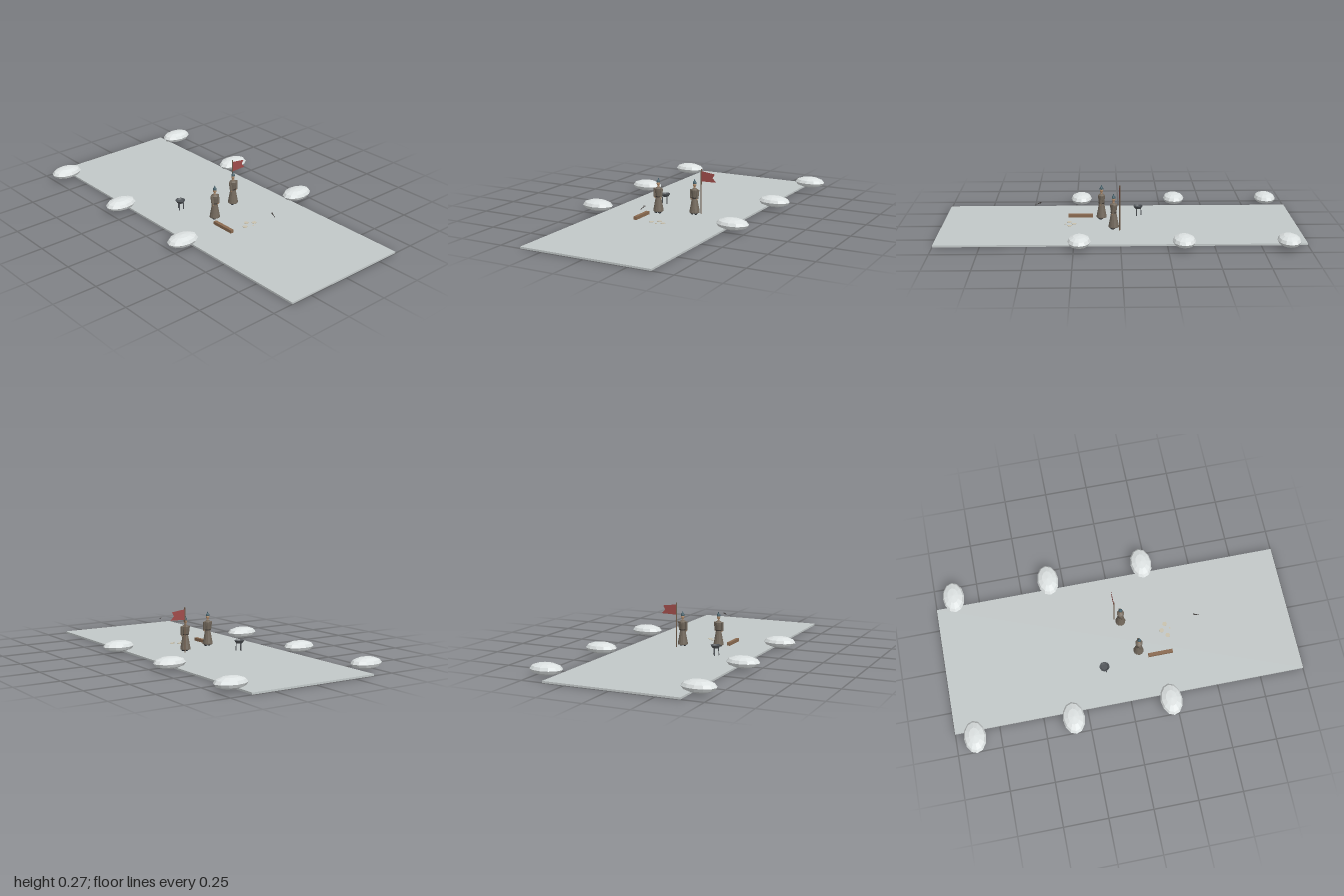
import * as THREE from 'three';

const material = (color, side = THREE.FrontSide) =>
  new THREE.MeshStandardMaterial({ color, side, flatShading: true });

const MAT = {
  ground: material(0xc2c8c8),
  mound: material(0xdde2e2),
  robe: material(0x73695d),
  belt: material(0x3e3833),
  skin: material(0xb08c6c),
  hat: material(0x46606a),
  shoe: material(0x2c3036),
  wood: material(0x8a6a50),
  pole: material(0x6e5a48),
  iron: material(0x505458),
  flag: material(0xa04c4a, THREE.DoubleSide),
  pale: material(0xc9c2ae),
  dart: material(0x403c3a),
};

const FLOOR = 0.01; // top of the ground slab

function add(parent, name, geometry, mat, x = 0, y = 0, z = 0) {
  const mesh = new THREE.Mesh(geometry, mat);
  mesh.name = name;
  mesh.position.set(x, y, z);
  parent.add(mesh);
  return mesh;
}

function group(parent, name, x, y, z) {
  const g = new THREE.Group();
  g.name = name;
  g.position.set(x, y, z);
  parent.add(g);
  return g;
}

// Tapered rod between two points
function rod(parent, name, from, to, r0, r1, mat, sides = 8) {
  const a = new THREE.Vector3(...from), b = new THREE.Vector3(...to);
  const d = b.clone().sub(a);
  const mesh = add(parent, name, new THREE.CylinderGeometry(r1, r0, d.length(), sides), mat);
  mesh.position.copy(a).add(b).multiplyScalar(0.5);
  mesh.quaternion.setFromUnitVectors(new THREE.Vector3(0, 1, 0), d.normalize());
  return mesh;
}

const lathe = (points, sides = 12) =>
  new THREE.LatheGeometry(points.map(p => new THREE.Vector2(...p)), sides);

// Robed figure, standing on the local origin
function addFigure(parent, name, x, z) {
  const f = group(parent, name, x, FLOOR, z);
  add(f, 'robe', lathe([
    [0, 0.012], [0.029, 0.012], [0.029, 0.018], [0.023, 0.05], [0.015, 0.094],
    [0.016, 0.104], [0.02, 0.13], [0.021, 0.142], [0.012, 0.149], [0.006, 0.152], [0, 0.152],
  ]), MAT.robe);
  add(f, 'belt', new THREE.CylinderGeometry(0.0168, 0.0168, 0.006, 12), MAT.belt, 0, 0.097, 0);
  add(f, 'neck', new THREE.CylinderGeometry(0.005, 0.006, 0.014, 8), MAT.skin, 0, 0.156, 0);
  add(f, 'head', new THREE.SphereGeometry(0.0095, 10, 8), MAT.skin, 0, 0.17, 0).scale.y = 1.25;
  add(f, 'hat', lathe([
    [0, 0.177], [0.0105, 0.177], [0.0105, 0.183], [0.008, 0.189], [0.003, 0.194], [0.0025, 0.201], [0, 0.203],
  ], 10), MAT.hat);
  for (const s of [-1, 1]) {
    rod(f, 'sleeve', [s * 0.021, 0.143, 0], [s * 0.019, 0.093, 0.006], 0.0085, 0.0075, MAT.robe);
    add(f, 'hand', new THREE.SphereGeometry(0.0045, 8, 6), MAT.skin, s * 0.018, 0.09, 0.007);
    add(f, 'shoe', new THREE.SphereGeometry(0.009, 8, 6), MAT.shoe, s * 0.011, 0.0085, 0.005)
      .scale.set(0.95, 0.94, 1.6);
  }
}

export function createModel() {
  const model = new THREE.Group();
  model.name = 'courtyardScene';

  add(model, 'ground', new THREE.BoxGeometry(0.756, FLOOR, 2), MAT.ground, 0, FLOOR / 2, 0);

  // Flattened mounds in two rows along the edges
  const moundGeometry = new THREE.SphereGeometry(1, 12, 6);
  for (const x of [-0.423, 0.423])
    for (const z of [-0.89, -0.335, 0.22])
      add(model, 'mound', moundGeometry, MAT.mound, x, 0.044, z).scale.set(0.093, 0.032, 0.062);

  addFigure(model, 'rightFigure', -0.096, 0.1);
  addFigure(model, 'leftFigure', 0.098, 0.033);

  // Swallow-tailed flag on its pole
  const banner = group(model, 'banner', 0.122, 0, 0);
  rod(banner, 'pole', [0, FLOOR, 0], [0, 0.266, 0], 0.0035, 0.003, MAT.pole);
  const cloth = new THREE.Shape([
    [0, 0.255], [0.084, 0.244], [0.071, 0.221], [0.093, 0.198], [0, 0.196],
  ].map(p => new THREE.Vector2(...p)));
  add(banner, 'flag', new THREE.ShapeGeometry(cloth), MAT.flag);

  // Three-legged brazier
  const brazier = group(model, 'brazier', -0.17, 0, -0.112);
  add(brazier, 'bowl', lathe([
    [0, 0.052], [0.018, 0.052], [0.028, 0.068], [0.024, 0.068], [0.017, 0.06], [0, 0.06],
  ], 16), MAT.iron);
  for (let i = 0; i < 3; i++) {
    const a = Math.PI / 6 + (i * Math.PI * 2) / 3;
    const lx = Math.cos(a) * 0.018, lz = Math.sin(a) * 0.018;
    rod(brazier, 'leg', [lx, FLOOR, lz], [lx * 0.9, 0.054, lz * 0.9], 0.0025, 0.0025, MAT.iron, 6);
  }

  // Wooden beam lying on the ground
  add(model, 'beam', new THREE.BoxGeometry(0.019, 0.018, 0.142), MAT.wood, -0.136, FLOOR + 0.009, 0.22);

  // Thin scattered pieces
  for (const [x, z, r] of [[-0.035, 0.284, 0.014], [0, 0.256, 0.014], [0.035, 0.281, 0.014], [0.006, 0.305, 0.005]])
    add(model, 'groundPiece', new THREE.CylinderGeometry(r, r, 0.003, 6), MAT.pale, x, FLOOR + 0.001, z);

  // Small dart in flight, nose down
  const dart = group(model, 'dart', 0.012, 0.134, 0.455);
  rod(dart, 'shaft', [-0.003, -0.007, 0.016], [0.002, 0.007, -0.014], 0.001, 0.0035, MAT.dart, 6);
  rod(dart, 'tail', [0.002, 0.003, -0.008], [0.004, 0.008, -0.016], 0.002, 0.004, MAT.dart, 6);

  return model;
}
